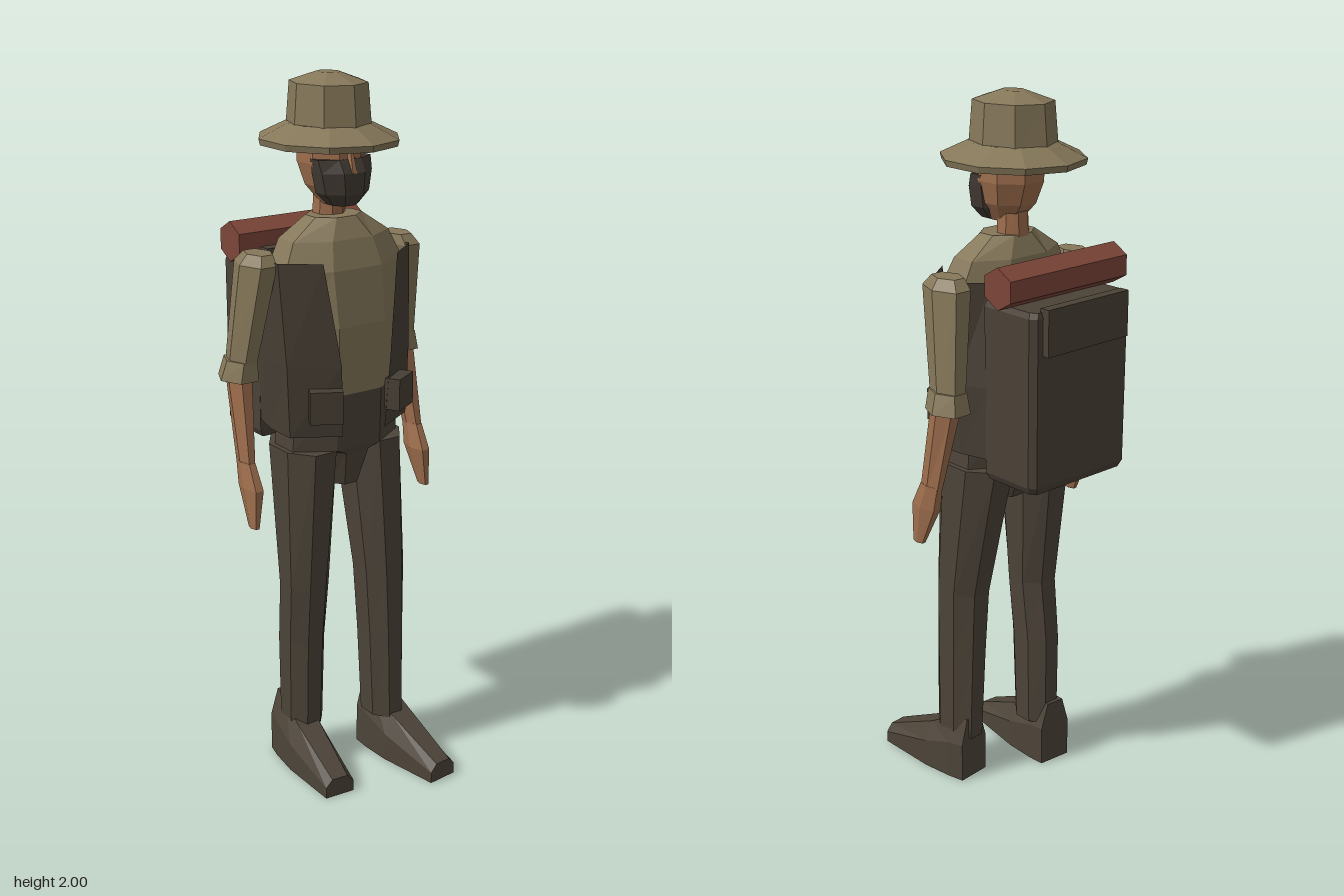
import * as THREE from 'three';

const mat = (name, color, extra = {}) =>
  Object.assign(new THREE.MeshStandardMaterial({ color, flatShading: true, ...extra }), { name });

// Unit cross-section with n sides, scaled so that it spans -1..1 both ways
function template(n, offset) {
  const pts = [];
  for (let i = 0; i < n; i++) {
    const a = (i / n) * Math.PI * 2 + offset;
    pts.push([Math.cos(a), Math.sin(a)]);
  }
  const mx = Math.max(...pts.map(p => Math.abs(p[0])));
  const mz = Math.max(...pts.map(p => Math.abs(p[1])));
  return pts.map(p => [p[0] / mx, p[1] / mz]);
}
const HEX = template(6, 0);
const OCT = template(8, Math.PI / 8);
const OCT_POINT = template(8, 0);
const DECA = template(10, Math.PI / 2);
const PACK = [[1, 1], [-1, 1], [-1, -0.8], [-0.92, -1], [0.92, -1], [1, -0.8]];

// Skin between rings of points, with optional end caps
function loft(rings, closed = true) {
  const n = rings[0].length, idx = [], last = (rings.length - 1) * n;
  for (let j = 0; j < rings.length - 1; j++) {
    for (let i = 0; i < (closed ? n : n - 1); i++) {
      const a = j * n + i, b = j * n + ((i + 1) % n);
      idx.push(a, a + n, b, b, a + n, b + n);
    }
  }
  if (closed) {
    for (let i = 1; i < n - 1; i++) {
      idx.push(0, i, i + 1);
      idx.push(last, last + i + 1, last + i);
    }
  }
  const g = new THREE.BufferGeometry();
  g.setAttribute('position', new THREE.Float32BufferAttribute(rings.flat(2), 3));
  g.setIndex(idx);
  const flat = g.toNonIndexed();
  flat.computeVertexNormals();
  return flat;
}

// Rows are [y, x0, x1, z0, z1], from the bottom up; side -1 mirrors in x
function body(rows, shape = HEX, side = 1) {
  return loft(rows.map(([y, x0, x1, z0, z1]) => shape.map(([u, v]) => [
    side * (x0 + x1) / 2 + u * (x1 - x0) / 2, y, (z0 + z1) / 2 + v * (z1 - z0) / 2,
  ])));
}
// Rows symmetric in x: [y, halfWidth, z0, z1]
const centred = (rows, shape = OCT) => body(rows.map(([y, w, a, b]) => [y, -w, w, a, b]), shape);

export function createModel() {
  const model = new THREE.Group();
  const khaki = mat('khaki cloth', 0x857759);
  const trousers = mat('trouser brown', 0x4d4439);
  const vestCloth = mat('vest brown', 0x463e34, { side: THREE.DoubleSide });
  const canvas = mat('pack canvas', 0x4b4137);
  const skin = mat('skin', 0x9e6e4d);
  const hair = mat('beard', 0x423a33);
  const rust = mat('bedroll red', 0x7d4639);

  const add = (name, geometry, material, x = 0, y = 0, z = 0) => {
    const mesh = new THREE.Mesh(geometry, material);
    mesh.name = name;
    mesh.position.set(x, y, z);
    model.add(mesh);
    return mesh;
  };

  // Hat
  add('hatBrim', centred([[1.815, 0.176, -0.236, 0.162], [1.832, 0.18, -0.24, 0.166],
    [1.87, 0.105, -0.16, 0.085]], DECA), khaki);
  add('hatCrown', centred([[1.85, 0.109, -0.165, 0.09], [1.975, 0.1, -0.153, 0.078],
    [2.0, 0.03, -0.075, 0]], OCT_POINT), khaki);

  // Head
  add('neck', centred([[1.56, 0.045, -0.08, 0.005], [1.72, 0.038, -0.075, 0.005]]), skin);
  add('head', centred([[1.66, 0.035, -0.05, 0.04], [1.71, 0.068, -0.095, 0.055],
    [1.77, 0.083, -0.118, 0.062], [1.84, 0.083, -0.12, 0.06]]), skin);
  add('beard', centred([[1.662, 0.04, -0.01, 0.065], [1.695, 0.07, -0.03, 0.083],
    [1.75, 0.08, -0.035, 0.083], [1.785, 0.084, -0.03, 0.064]]), hair);
  add('nose', centred([[1.75, 0.014, 0.04, 0.085], [1.81, 0.008, 0.04, 0.068]], HEX), skin);

  // Torso
  add('shirt', centred([[1.16, 0.165, -0.12, 0.115], [1.35, 0.18, -0.12, 0.12],
    [1.5, 0.19, -0.11, 0.1], [1.575, 0.155, -0.1, 0.075], [1.63, 0.075, -0.075, 0.045]]), khaki);
  add('hips', centred([[0.88, 0.05, -0.06, 0.07], [0.985, 0.09, -0.1, 0.1],
    [1.0, 0.175, -0.11, 0.105], [1.16, 0.165, -0.12, 0.115]]), trousers);

  // Open vest, each half a strip from the front edge round to the spine
  const vestRows = [
    [1.05, [[0.07, 0.13], [0.195, 0.06], [0.195, -0.04], [0.17, -0.13], [0, -0.138]]],
    [1.25, [[0.08, 0.14], [0.203, 0.06], [0.205, -0.04], [0.175, -0.13], [0, -0.138]]],
    [1.53, [[0.12, 0.112], [0.215, 0.04], [0.21, -0.05], [0.15, -0.115], [0, -0.122]]],
  ];
  for (const side of [1, -1]) {
    const label = side > 0 ? 'left' : 'right';
    const rings = vestRows.map(([y, pts]) => {
      const ring = pts.map(([x, z]) => [side * x, y, z]);
      return side > 0 ? ring.reverse() : ring;
    });
    add(label + 'VestHalf', loft(rings, false), vestCloth);
    const pocket = add(label + 'VestPocket', new THREE.BoxGeometry(0.09, 0.09, 0.045),
      vestCloth, side * 0.122, 1.145, 0.125);
    pocket.rotation.y = side * 0.5;
    add(label + 'PackStrap', new THREE.BoxGeometry(0.05, 0.09, 0.035), canvas,
      side * 0.13, 1.49, -0.12);

    // Arm
    add(label + 'Sleeve', body([[1.24, 0.228, 0.302, -0.122, -0.022],
      [1.52, 0.186, 0.284, -0.105, 0.03], [1.548, 0.192, 0.262, -0.08, 0.01]], HEX, side), khaki);
    add(label + 'Cuff', body([[1.2, 0.215, 0.325, -0.138, -0.018],
      [1.255, 0.222, 0.308, -0.125, -0.02]], HEX, side), khaki);
    add(label + 'Forearm', body([[0.96, 0.268, 0.303, -0.055, 0.012],
      [1.21, 0.24, 0.305, -0.115, -0.03]], HEX, side), skin);
    add(label + 'Hand', body([[0.8, 0.281, 0.303, 0.005, 0.043], [0.91, 0.26, 0.309, -0.045, 0.045],
      [0.98, 0.266, 0.304, -0.058, 0.01]], HEX, side), skin);
  }

  // Legs in a short stride, the left one ahead
  add('leftLeg', body([[0.13, 0.07, 0.175, -0.015, 0.13], [0.4, 0.06, 0.178, -0.025, 0.128],
    [0.6, 0.05, 0.183, -0.035, 0.123], [1.0, 0.025, 0.19, -0.12, 0.105]], OCT), trousers);
  add('rightLeg', body([[0.13, -0.16, -0.05, -0.095, 0.035], [0.4, -0.168, -0.05, -0.092, 0.05],
    [0.58, -0.176, -0.048, -0.07, 0.07], [1.0, -0.19, -0.025, -0.12, 0.105]], OCT), trousers);

  // Shoes, lofted from heel to toe: [z, halfWidth, height]
  const shoe = loft([[0, 0.05, 0.195], [0.05, 0.057, 0.19], [0.14, 0.061, 0.14], [0.325, 0.045, 0.055]]
    .map(([z, w, h]) => [[w, 0.6 * h, z], [w, 0, z], [-w, 0, z], [-w, 0.6 * h, z],
      [-0.55 * w, h, z], [0.55 * w, h, z]]));
  add('leftShoe', shoe, trousers, 0.127, 0, -0.008).rotation.y = 0.09;
  add('rightShoe', shoe, trousers, -0.11, 0, -0.107).rotation.y = -0.09;

  // Backpack with lid flap and bedroll
  add('backpack', centred([[0.995, 0.165, -0.295, -0.125], [1.015, 0.175, -0.303, -0.12],
    [1.475, 0.177, -0.305, -0.12], [1.49, 0.17, -0.3, -0.12]], PACK), canvas);
  add('packFlap', new THREE.BoxGeometry(0.29, 0.125, 0.03), canvas, 0, 1.438, -0.31);
  const roll = new THREE.CylinderGeometry(0.056, 0.056, 0.42, 6);
  roll.rotateZ(Math.PI / 2);
  // Turn the hexagon so that one edge runs along the top
  roll.computeBoundingBox();
  const tall = roll.boundingBox.max.y > roll.boundingBox.max.z;
  add('bedroll', tall ? roll : roll.rotateX(Math.PI / 6), rust, 0, 1.543, -0.206);

  return model;
}
